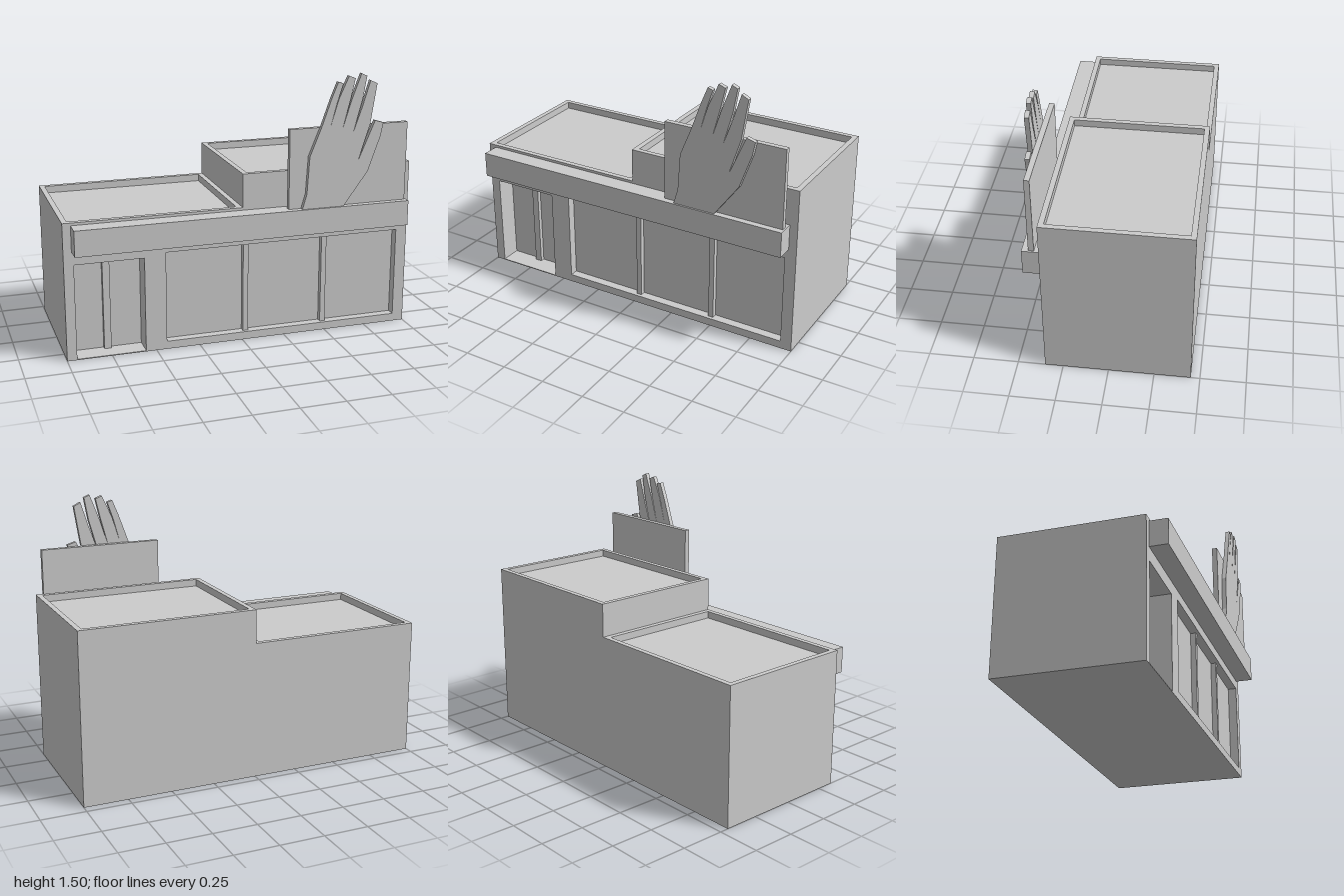
import * as THREE from 'three';

const BACK = -0.45, FRONT = 0.35, DOOR_Z = 0.23, GLASS_Z = 0.30;
const LOW = 0.78, HIGH = 0.97, ROOF_DROP = 0.04;

export function createModel() {
  const group = new THREE.Group();
  const material = new THREE.MeshStandardMaterial({ color: 0xcccccc, flatShading: true });

  const add = (name, geometry) => {
    const mesh = new THREE.Mesh(geometry, material);
    mesh.name = name;
    group.add(mesh);
    return mesh;
  };
  const box = (name, x0, x1, y0, y1, z0, z1) =>
    add(name, new THREE.BoxGeometry(x1 - x0, y1 - y0, z1 - z0))
      .position.set((x0 + x1) / 2, (y0 + y1) / 2, (z0 + z1) / 2);
  const polygon = (pts) => pts.map(([x, y]) => new THREE.Vector2(x, y));
  const rect = (x0, x1, y0, y1) => polygon([[x0, y0], [x1, y0], [x1, y1], [x0, y1]]);
  const slab = (name, outline, holes, z0, z1) => {
    const shape = new THREE.Shape(outline);
    holes.forEach((h) => shape.holes.push(new THREE.Path(h)));
    const geometry = new THREE.ExtrudeGeometry(shape, { depth: z1 - z0, bevelEnabled: false });
    return add(name, geometry.translate(0, 0, z0));
  };

  // Stepped building up to the roof decks, with a pierced facade layer
  const low = LOW - ROOF_DROP, high = HIGH - ROOF_DROP;
  const profile = polygon([[-1, 0], [1, 0], [1, high], [0, high], [0, low], [-1, low]]);
  slab('building', profile, [], BACK, DOOR_Z);
  slab('facade', profile, [
    rect(-0.945, -0.56, 0.005, 0.545),
    rect(-0.44, 0.935, 0.045, 0.565),
  ], DOOR_Z, FRONT);

  // Parapet rings around both roof decks
  const parapet = (name, x0, x1, y) => {
    const outline = rect(x0, x1, -FRONT, -BACK);
    const hole = rect(x0 + 0.03, x1 - 0.03, -FRONT + 0.03, -BACK - 0.03);
    const mesh = slab(name, outline, [hole], 0, ROOF_DROP);
    mesh.geometry.rotateX(-Math.PI / 2);
    mesh.position.y = y;
  };
  parapet('lowerParapet', -1, 0, low);
  parapet('upperParapet', 0, 1, high);

  // Glazing and its upright bars
  box('windowPanel', -0.44, 0.935, 0.045, 0.565, DOOR_Z, GLASS_Z);
  for (const x of [0.01, 0.48]) box('windowBar', x, x + 0.03, 0.045, 0.565, GLASS_Z, GLASS_Z + 0.03);
  box('doorBar', -0.775, -0.735, 0.005, 0.545, DOOR_Z, DOOR_Z + 0.025);

  // Fascia band and the board standing on it
  box('fascia', -0.955, 0.955, 0.62, 0.765, FRONT, 0.45);
  box('signBoard', 0.245, 0.945, 0.765, 1.215, 0.385, 0.415);

  // Flat cut-out hand: wrist, four fingers, thumb
  slab('hand', polygon([
    [0.315, 0.765], [0.34, 0.85], [0.353, 1.06], [0.417, 1.217],
    [0.475, 1.38], [0.51, 1.465], [0.54, 1.455], [0.505, 1.35], [0.47, 1.22],
    [0.515, 1.37], [0.572, 1.495], [0.61, 1.48], [0.585, 1.37], [0.54, 1.2],
    [0.59, 1.36], [0.645, 1.505], [0.678, 1.49], [0.655, 1.36], [0.605, 1.18],
    [0.655, 1.32], [0.70, 1.465], [0.74, 1.445], [0.705, 1.22], [0.64, 1.02],
    [0.735, 1.24], [0.785, 1.225], [0.77, 1.15], [0.70, 0.955], [0.56, 0.765],
  ]), [], 0.415, 0.44);

  return group;
}
